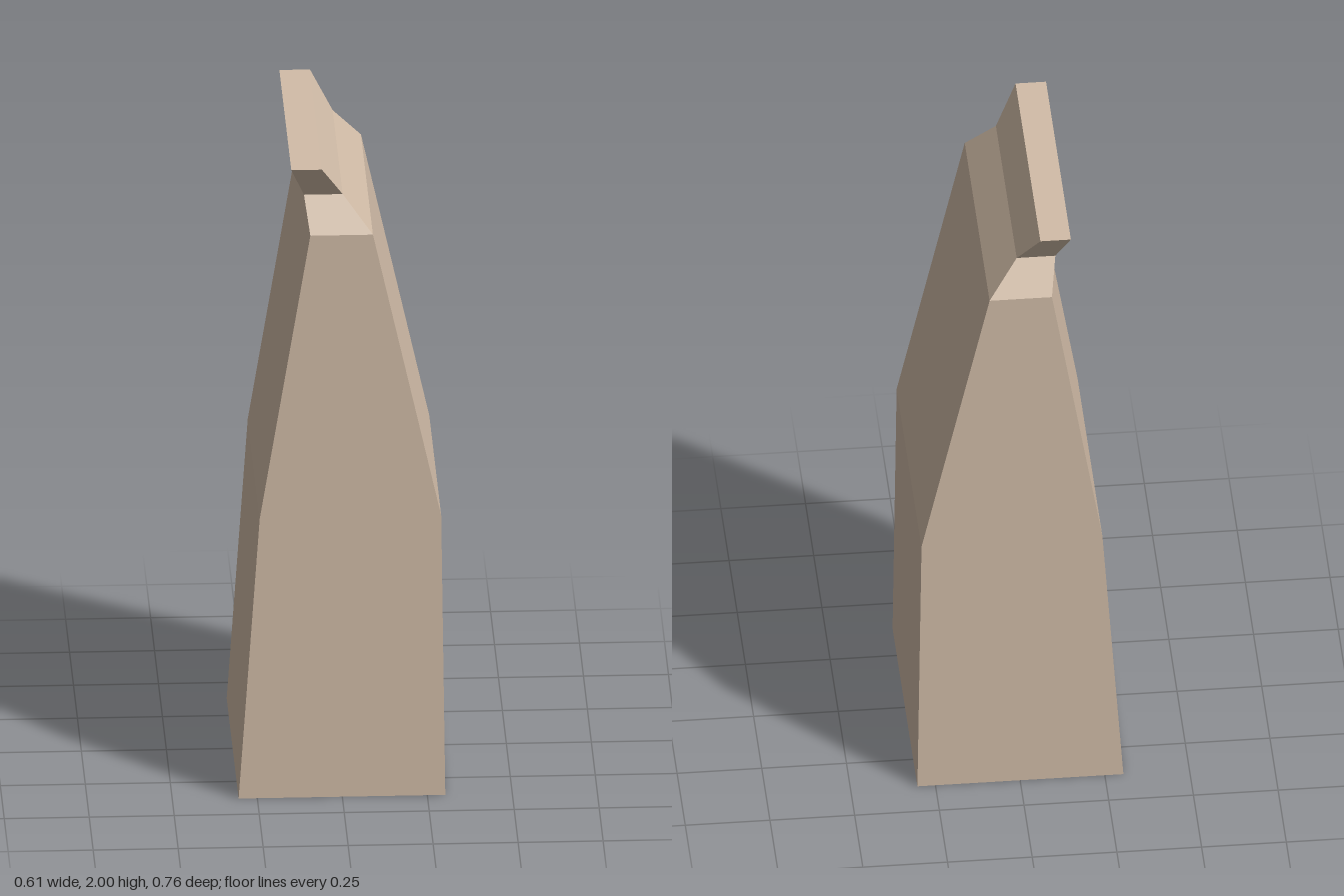
import * as THREE from 'three';

// Cross-sections of the folded bag: [height, left x, right x, half depth]
const SECTIONS = [
  [0, -0.305, 0.303, 0.38],
  [0.89, -0.243, 0.291, 0.38],
  [1.79, -0.094, 0.09, 0.38],
  [1.895, -0.11, 0.004, 0.318],
  [2, -0.15, -0.06, 0.38],
];

// Corners of one section, anticlockwise seen from below
const ring = ([y, x0, x1, d]) => [[x0, y, d], [x1, y, d], [x1, y, -d], [x0, y, -d]];

function loft(sections) {
  const points = [];
  const quad = (a, b, c, d) => points.push(...a, ...b, ...c, ...a, ...c, ...d);
  const rings = sections.map(ring);
  for (let i = 0; i < rings.length - 1; i++) {
    for (let k = 0; k < 4; k++) {
      const n = (k + 1) % 4;
      quad(rings[i][k], rings[i][n], rings[i + 1][n], rings[i + 1][k]);
    }
  }
  // Closed base and rolled top edge
  quad(...[...rings[0]].reverse());
  quad(...rings[rings.length - 1]);
  const geometry = new THREE.BufferGeometry();
  geometry.setAttribute('position', new THREE.Float32BufferAttribute(points, 3));
  geometry.computeVertexNormals();
  return geometry;
}

export function createModel() {
  const group = new THREE.Group();
  group.name = 'paperBag';
  const paper = new THREE.MeshStandardMaterial({ color: 0xd2bda8 });
  paper.name = 'kraft paper';

  // Body, pinched neck and flared top in one folded shell
  const bag = new THREE.Mesh(loft(SECTIONS), paper);
  bag.name = 'bagShell';
  group.add(bag);
  return group;
}
